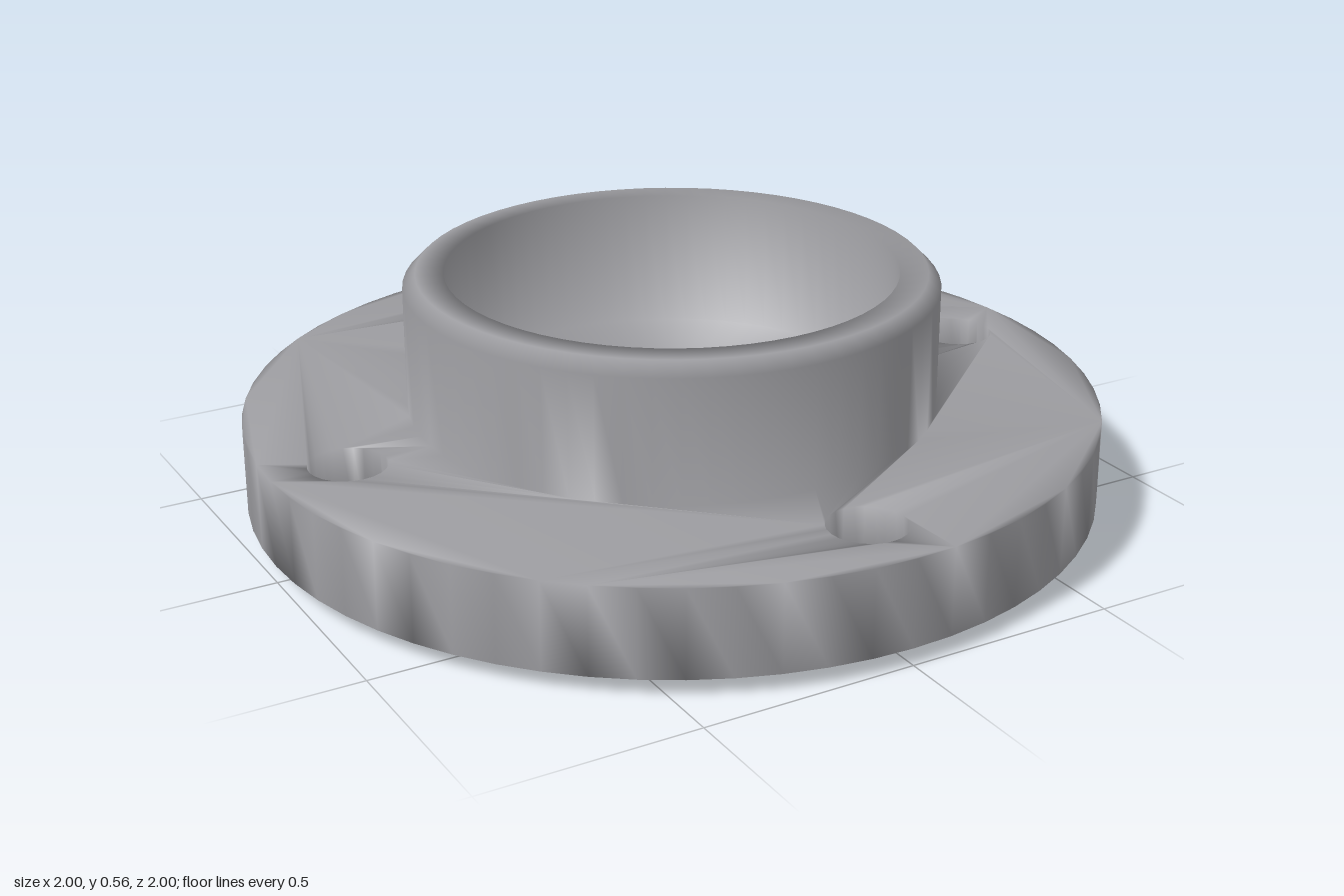
import * as THREE from 'three';
import { mergeGeometries, mergeVertices } from 'three/addons/utils/BufferGeometryUtils.js';

const SIDES = 64, HOLE_SIDES = 24;
const OUTER = 1, HUB = 0.62, BORE = 0.525, HOLE = 0.09, HOLE_AT = 0.82;
const BOTTOM = 0.04, TOP = 0.245, RIM = 0.565;

const circle = (r, n, cx = 0, cy = 0) => Array.from({ length: n }, (_, i) => {
  const a = (i / n) * Math.PI * 2;
  return new THREE.Vector2(cx + r * Math.cos(a), cy + r * Math.sin(a));
});

const revolve = (profile, sides = SIDES) =>
  new THREE.LatheGeometry(profile.map(([r, y]) => new THREE.Vector2(r, y)), sides);

const boltCentres = [0, 1, 2, 3].map((i) => {
  const a = (i * Math.PI) / 2;
  return [HOLE_AT * Math.cos(a), HOLE_AT * Math.sin(a)];
});

// Flat ring with the hub opening and four bolt holes, facing up or down
function plate(y, up) {
  const shape = new THREE.Shape(circle(OUTER, SIDES));
  shape.holes.push(new THREE.Path(circle(HUB, SIDES)));
  for (const [x, z] of boltCentres) shape.holes.push(new THREE.Path(circle(HOLE, HOLE_SIDES, x, z)));
  return new THREE.ShapeGeometry(shape, 1).rotateX(up ? -Math.PI / 2 : Math.PI / 2).translate(0, y, 0);
}

export function createModel() {
  const grey = new THREE.MeshStandardMaterial({ color: 0x9c9ca0, side: THREE.DoubleSide });
  grey.name = 'grey metal';

  const pieces = [
    // Short lip under the flange
    revolve([[HUB, 0], [HUB, BOTTOM]]),
    // Flange
    plate(BOTTOM, false),
    revolve([[OUTER, BOTTOM], [OUTER, TOP]]),
    plate(TOP, true),
    // Hub wall, bevelled rim, bore and closed floor
    revolve([[HUB, TOP], [HUB, 0.535], [0.59, RIM], [BORE, RIM], [BORE, TOP - 0.01], [0, TOP - 0.01]]),
    // Bolt hole walls
    ...boltCentres.map(([x, z]) =>
      revolve([[HOLE, TOP], [HOLE, BOTTOM]], HOLE_SIDES).translate(x, 0, z)),
  ];

  // Weld the pieces so the shading runs smoothly across every edge
  for (const g of pieces) {
    g.deleteAttribute('uv');
    g.deleteAttribute('normal');
  }
  const shell = mergeVertices(mergeGeometries(pieces), 1e-4);
  shell.computeVertexNormals();

  const mesh = new THREE.Mesh(shell, grey);
  mesh.name = 'flangedHub';
  const group = new THREE.Group();
  group.name = 'pipeFlange';
  group.add(mesh);
  return group;
}
